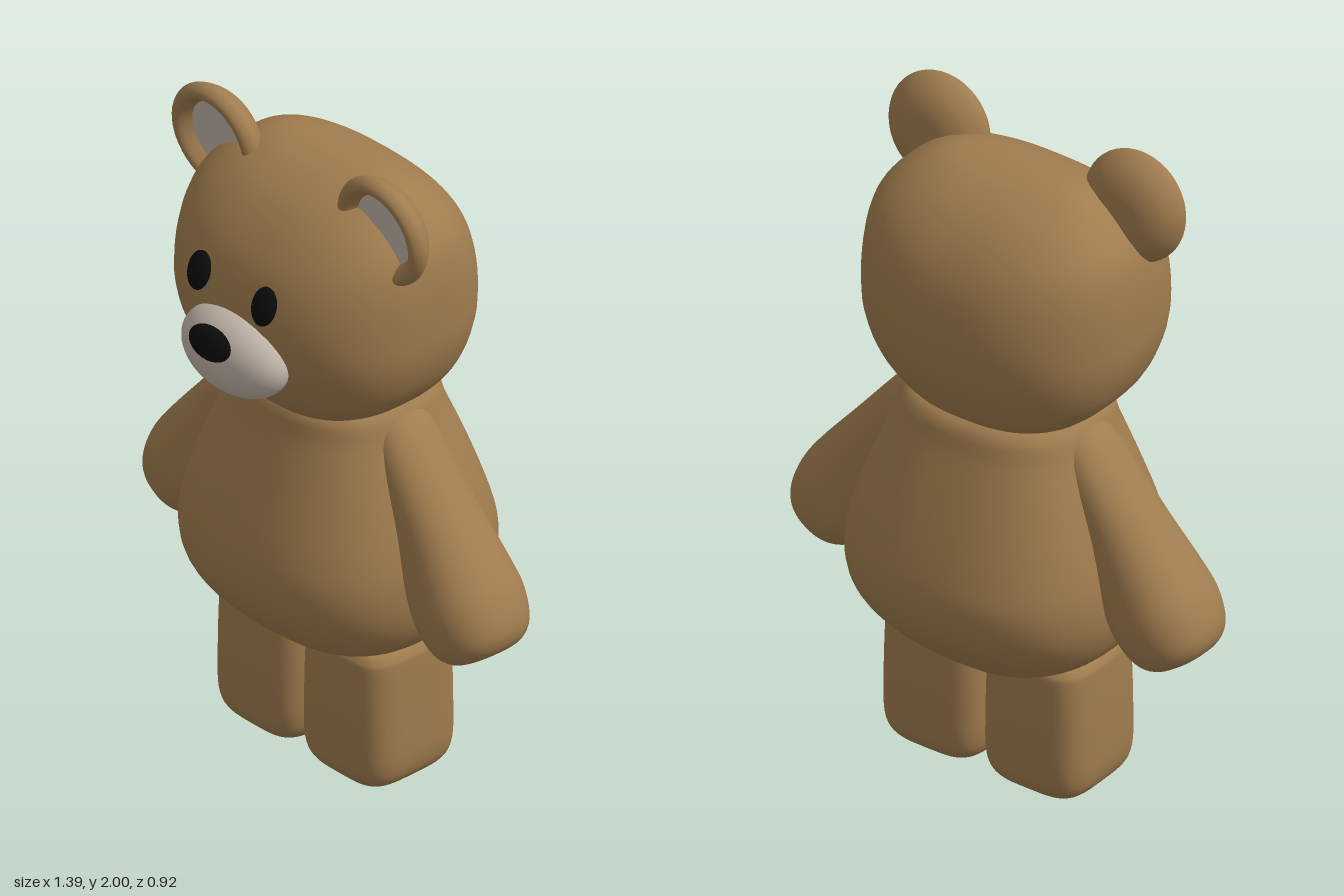
import * as THREE from 'three';

const paint = (color) => new THREE.MeshStandardMaterial({ color });
const fur = paint(0xa07c4e), pale = paint(0xc0b4a8), black = paint(0x0a0a0a);

// Smooth closed loft of superellipse rings; sections are [y, halfWidth, zFront, zBack], bottom to top
function loft(sections, power, rows = 40, cols = 56) {
  const spline = (k) => new THREE.SplineCurve(sections.map((s) => new THREE.Vector2(s[0], s[k])));
  const [width, front, back] = [1, 2, 3].map(spline);
  const bend = (v) => Math.sign(v) * Math.abs(v) ** (2 / power);
  const pos = [], index = [];
  for (let i = 0; i <= rows; i++) {
    const w = width.getPoint(i / rows), f = front.getPoint(i / rows).y, b = back.getPoint(i / rows).y;
    for (let j = 0; j < cols; j++) {
      const a = (j / cols) * Math.PI * 2;
      pos.push(w.y * bend(Math.cos(a)), w.x, (f + b) / 2 + ((f - b) / 2) * bend(Math.sin(a)));
      if (i === rows) continue;
      const p = i * cols + j, q = i * cols + ((j + 1) % cols);
      index.push(p, p + cols, q, q, p + cols, q + cols);
    }
  }
  // End caps
  for (const [s, row] of [[sections[0], 0], [sections.at(-1), rows]]) {
    const c = pos.length / 3;
    pos.push(0, s[0], (s[2] + s[3]) / 2);
    for (let j = 0; j < cols; j++) {
      const p = row * cols + j, q = row * cols + ((j + 1) % cols);
      row ? index.push(c, q, p) : index.push(c, p, q);
    }
  }
  const g = new THREE.BufferGeometry();
  g.setAttribute('position', new THREE.Float32BufferAttribute(pos, 3));
  g.setIndex(index);
  g.computeVertexNormals();
  return g;
}

export function createModel() {
  const model = new THREE.Group();
  const add = (name, geometry, material, x = 0, y = 0, z = 0, parent = model) => {
    const mesh = new THREE.Mesh(geometry, material);
    mesh.name = name;
    mesh.position.set(x, y, z);
    parent.add(mesh);
    return mesh;
  };
  const ball = new THREE.SphereGeometry(1, 40, 28);

  // Head: a soft block, rounder from the side than from the front
  add('head', loft([
    [1.155, 0.04, 0.06, -0.06], [1.157, 0.15, 0.14, -0.17], [1.185, 0.26, 0.195, -0.26],
    [1.28, 0.36, 0.275, -0.325], [1.4, 0.41, 0.325, -0.365], [1.52, 0.42, 0.34, -0.375],
    [1.65, 0.416, 0.31, -0.35], [1.75, 0.39, 0.25, -0.3], [1.83, 0.32, 0.17, -0.225],
    [1.88, 0.24, 0.08, -0.14], [1.897, 0.16, 0.01, -0.07], [1.9, 0.04, -0.02, -0.04],
  ], 2.5), fur);

  // Body: pear shape, fuller at the back
  add('body', loft([
    [0.34, 0.03, -0.04, -0.1], [0.355, 0.12, 0.05, -0.19], [0.4, 0.25, 0.13, -0.275],
    [0.48, 0.365, 0.23, -0.36], [0.58, 0.417, 0.302, -0.43], [0.69, 0.428, 0.328, -0.455],
    [0.8, 0.412, 0.31, -0.432], [0.95, 0.365, 0.26, -0.38], [1.1, 0.307, 0.207, -0.32],
    [1.19, 0.265, 0.175, -0.28], [1.22, 0.1, 0.05, -0.15],
  ], 2.5), fur);

  // Limbs are symmetric, so both sides share one geometry
  const legShape = loft([
    [0, 0.03, 0.03, -0.03], [0.005, 0.1, 0.11, -0.11], [0.025, 0.145, 0.15, -0.15],
    [0.08, 0.168, 0.17, -0.17], [0.2, 0.17, 0.173, -0.173], [0.38, 0.165, 0.17, -0.17],
    [0.425, 0.158, 0.16, -0.16], [0.442, 0.13, 0.13, -0.13], [0.443, 0.03, 0.03, -0.03],
  ], 4);
  const armShape = loft([
    [-0.745, 0.025, 0.03, -0.03], [-0.735, 0.085, 0.095, -0.095], [-0.69, 0.127, 0.138, -0.138],
    [-0.6, 0.146, 0.156, -0.156], [-0.5, 0.14, 0.146, -0.146], [-0.34, 0.118, 0.125, -0.125],
    [-0.17, 0.096, 0.113, -0.113], [-0.06, 0.077, 0.095, -0.095], [-0.015, 0.045, 0.055, -0.055],
    [0, 0.012, 0.015, -0.015],
  ], 2.3);

  // Ear cup turned around its axis, from the domed back over the rim to the hollow
  const earProfile = new THREE.SplineCurve([
    [0, -0.056], [0.07, -0.052], [0.125, -0.03], [0.158, 0.005], [0.165, 0.03],
    [0.152, 0.052], [0.132, 0.053], [0.113, 0.03], [0.1, 0.005],
  ].map(([r, y]) => new THREE.Vector2(r, y))).getPoints(32);
  earProfile[0].x = 0;
  const earShape = new THREE.LatheGeometry(earProfile, 48).rotateX(Math.PI / 2);

  for (const [side, s] of [['left', 1], ['right', -1]]) {
    add(side + 'Leg', legShape, fur, s * 0.173, 0, -0.053);
    add(side + 'Arm', armShape, fur, s * 0.213, 1.164, -0.055).rotation.z = s * 0.57;

    const ear = new THREE.Group();
    ear.name = side + 'Ear';
    ear.position.set(s * 0.332, 1.836, 0.055);
    ear.rotation.x = 0.1;
    add(side + 'EarCup', earShape, fur, 0, 0, 0, ear);
    add(side + 'EarLining', new THREE.CircleGeometry(0.108, 40), pale, 0, 0, 0.018, ear);
    model.add(ear);

    const eye = add(side + 'Eye', ball, black, s * 0.13, 1.605, 0.335);
    eye.scale.set(0.037, 0.058, 0.03);
    eye.rotation.set(-0.22, s * 0.2, 0);
  }

  // Muzzle and nose
  add('muzzle', ball, pale, 0.008, 1.407, 0.325).scale.set(0.19, 0.127, 0.105);
  add('nose', ball, black, 0.008, 1.47, 0.424).scale.set(0.075, 0.051, 0.036);

  return model;
}
